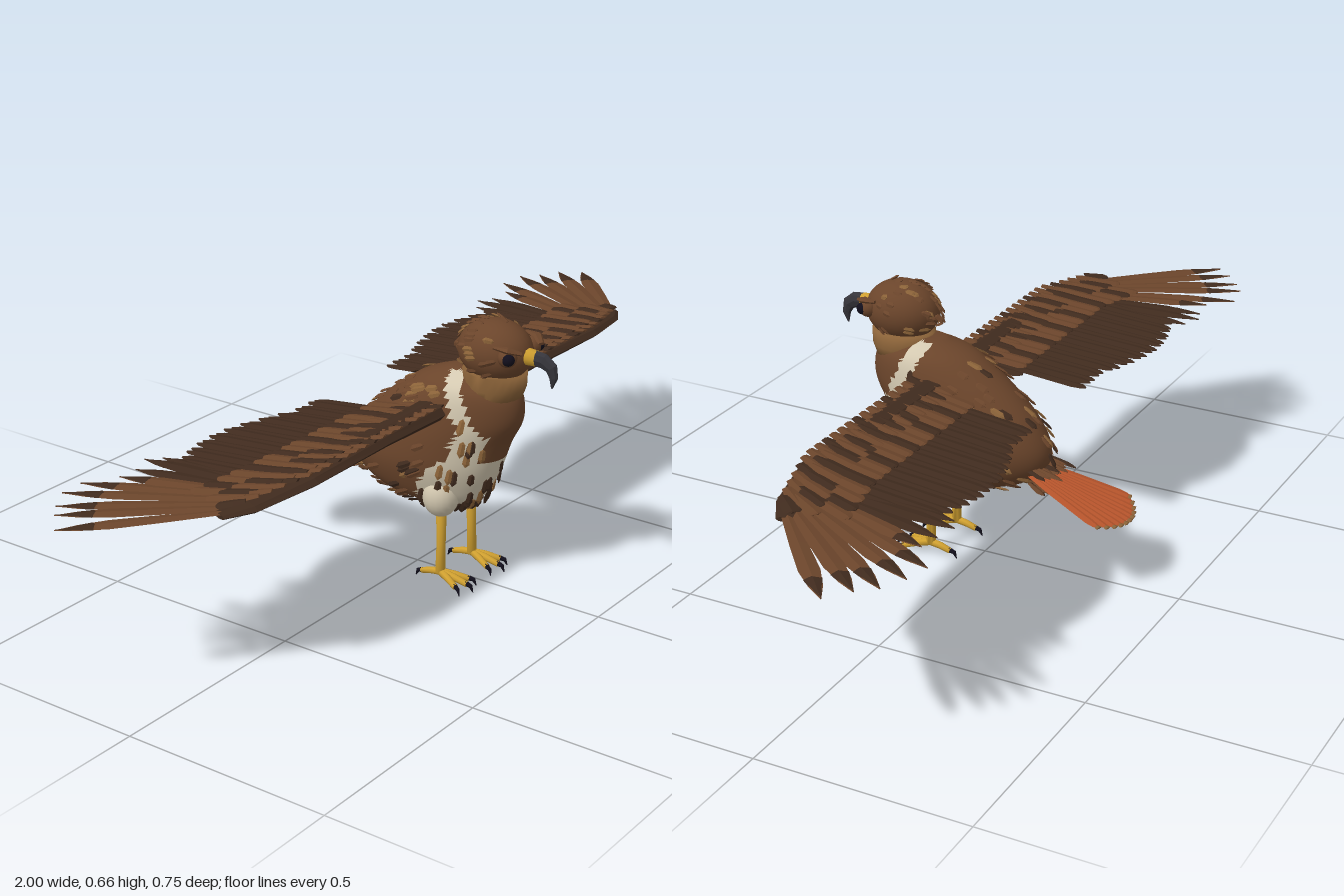
import * as THREE from 'three';

const mat = (name, color) => Object.assign(new THREE.MeshStandardMaterial({ color }), { name });
const brown = mat('brown', 0x6b452b), dark = mat('dark brown', 0x402b1e), tan = mat('tan', 0x8a6238);
const cream = mat('cream', 0xd3c8b0), rufous = mat('rufous', 0xb8552c), yellow = mat('yellow', 0xd0a030);
const horn = mat('horn grey', 0x35343a), black = mat('eye black', 0x120f1c);

let seed = 7;
const rand = () => (seed = (seed * 16807) % 2147483647) / 2147483647;
const V = (x, y, z) => new THREE.Vector3(x, y, z);
const lerp = THREE.MathUtils.lerp;

// Skin over closed rings of equal length, capped at both ends; pick() sorts faces into material groups
function loft(rings, flat, pick = () => 0) {
  const n = rings[0].length, m = rings.length, pts = rings.flat(), sets = [[], []];
  const tri = (a, b, c) => {
    const mid = pts[a].clone().add(pts[b]).add(pts[c]).divideScalar(3);
    sets[pick(mid)].push(a, b, c);
  };
  for (let i = 0; i < m - 1; i++) for (let j = 0; j < n; j++) {
    const k = (j + 1) % n, a = i * n + j, b = i * n + k, c = b + n, d = a + n;
    tri(a, b, c); tri(a, c, d);
  }
  for (let j = 1; j < n - 1; j++) {
    tri(0, j + 1, j);
    tri((m - 1) * n, (m - 1) * n + j, (m - 1) * n + j + 1);
  }
  let g = new THREE.BufferGeometry().setFromPoints(pts);
  g.setIndex([...sets[0], ...sets[1]]);
  g.addGroup(0, sets[0].length, 0);
  g.addGroup(sets[0].length, sets[1].length, 1);
  if (flat) { g = g.toNonIndexed(); g.clearGroups(); }
  g.computeVertexNormals();
  return g;
}

function add(parent, name, geo, material) {
  const m = new THREE.Mesh(geo, material);
  m.name = name;
  parent.add(m);
  return m;
}

// Tapered limb through [x, y, z, halfWidth, halfHeight] stations
function limb(parent, name, stations, material, { up = V(0, 1, 0), sides = 4, flat = true } = {}) {
  const p = stations.map(s => V(s[0], s[1], s[2]));
  const rings = stations.map(([, , , w, h = w], i) => {
    const T = p[Math.min(i + 1, p.length - 1)].clone().sub(p[Math.max(i - 1, 0)]).normalize();
    const S = up.clone().cross(T).normalize(), U = T.clone().cross(S);
    return Array.from({ length: sides }, (_, j) => {
      const a = j / sides * Math.PI * 2;
      return p[i].clone().addScaledVector(S, w * Math.cos(a)).addScaledVector(U, h * Math.sin(a));
    });
  });
  return add(parent, name, loft(rings, flat), material);
}

// Flat vane from root to tip, with a ridge along the shaft
const BLUNT = [[0, 0.6], [0.4, 0.95], [0.88, 1], [0.96, 0.7], [1, 0.2]];
const POINTED = [[0, 0.5], [0.4, 0.85], [0.7, 1], [0.87, 0.65], [1, 0.05]];
const DART = [[0, 0.1], [0.15, 0.8], [0.75, 1], [1, 0.05]].map(([t, w]) => [t, w]);
function feather(parent, name, a, b, w, material, profile = BLUNT, up = V(0, 1, 0), h = 0.004) {
  const st = profile.map(([t, k]) => [...a.clone().lerp(b, t).toArray(), w * k, h * (0.3 + 0.7 * k)]);
  return limb(parent, name, st, material, { up });
}

// Body sections, bottom to top: y, front z, back z, half width
const SECTIONS = [[0.188, 0.14, -0.03, 0.045], [0.212, 0.18, -0.105, 0.08], [0.25, 0.205, -0.155, 0.1],
  [0.3, 0.228, -0.165, 0.112], [0.36, 0.25, -0.135, 0.11], [0.42, 0.28, -0.08, 0.1],
  [0.475, 0.278, -0.01, 0.088], [0.505, 0.25, 0.04, 0.07], [0.53, 0.18, 0.11, 0.03]];
const mid = new THREE.CatmullRomCurve3(SECTIONS.map(([y, f, b, w]) => V(w, y, (f + b) / 2)), false, 'catmullrom');
const deep = new THREE.CatmullRomCurve3(SECTIONS.map(([y, f, b]) => V((f - b) / 2, y, 0)), false, 'catmullrom');
function bodyPoint(t, a) {
  const c = mid.getPoint(t);
  return V(c.x * Math.sin(a), c.y, c.z + deep.getPoint(t).x * Math.cos(a));
}
// Pale belly and a pale streak running up to each shoulder
function isCream({ x, y, z }) {
  if (y < 0.325) return z > 0.06 + Math.max(0, y - 0.25) * 0.9;
  const streak = y < 0.39 ? lerp(0.175, 0.2, (y - 0.325) / 0.065) : lerp(0.2, 0.14, (y - 0.39) / 0.13);
  return Math.abs(x) > 0.035 && Math.abs(z - streak) < (y < 0.39 ? 0.035 : 0.021);
}

function buildBody(g) {
  const rings = Array.from({ length: 41 }, (_, i) =>
    Array.from({ length: 56 }, (_, j) => bodyPoint(i / 40, j / 56 * Math.PI * 2)));
  add(g, 'body', loft(rings, false, p => (isCream(p) ? 1 : 0)), [brown, cream]);

  // Loose plumage lying along the body
  const plumage = new THREE.Group();
  plumage.name = 'bodyPlumage';
  g.add(plumage);
  for (let k = 0; k < 260; k++) {
    const t = 0.04 + rand() * 0.8, a = rand() * Math.PI * 2, p = bodyPoint(t, a);
    const pale = isCream(p);
    if (!pale && (p.z > 0.13 || rand() < 0.35)) continue;
    const n = bodyPoint(t, a + 0.02).sub(p).cross(bodyPoint(t + 0.01, a).sub(p)).normalize();
    const d = pale ? V(0, -1, -0.2) : V(0, -0.45, -1);
    d.addScaledVector(n, 0.22 - d.dot(n)).normalize();
    const color = pale ? (rand() < 0.8 ? dark : tan) : [brown, brown, dark, tan][Math.floor(rand() * 4)];
    feather(plumage, 'bodyFeather', p, p.clone().addScaledVector(d, 0.03 + rand() * 0.012), 0.0085, color, DART, n, 0.003);
  }
}

function buildHead(g) {
  const c = V(0, 0.582, 0.213), r = V(0.073, 0.071, 0.09);
  const skull = add(g, 'head', new THREE.SphereGeometry(1, 28, 18), brown);
  skull.position.copy(c);
  skull.scale.copy(r);
  limb(g, 'neck', [[0, 0.475, 0.212, 0.062, 0.064], [0, 0.5, 0.212, 0.067, 0.074], [0, 0.535, 0.212, 0.067, 0.076]],
    tan, { up: V(0, 0, 1), sides: 24, flat: false });
  // Crown and nape feathers
  for (let k = 0; k < 70; k++) {
    const a = rand() * Math.PI * 2, v = rand() * 1.5 - 0.5;
    const s = Math.sqrt(Math.max(0, 1 - v * v)), n = V(s * Math.sin(a), v, s * Math.cos(a));
    if (n.z > 0.5) continue;
    const p = n.clone().multiply(r).add(c), d = V(0, -0.15, -1);
    d.addScaledVector(n, 0.2 - d.dot(n)).normalize();
    feather(g, 'headFeather', p, p.clone().addScaledVector(d, 0.026), 0.007, k % 4 ? brown : tan, DART, n, 0.003);
  }
  // Cere and hooked beak
  limb(g, 'cere', [[0, 0.583, 0.285, 0.022, 0.02], [0, 0.583, 0.322, 0.017, 0.018]], yellow, { sides: 12, flat: false });
  limb(g, 'beak', [[0, 0.583, 0.318, 0.015, 0.019], [0, 0.581, 0.34, 0.013, 0.019], [0, 0.568, 0.36, 0.011, 0.016],
    [0, 0.547, 0.366, 0.008, 0.011], [0, 0.522, 0.362, 0.002]], horn, { sides: 8, up: V(0, 1, 0.4) });
  for (const s of [-1, 1]) {
    const ball = (name, x, z, rad, m) =>
      add(g, name, new THREE.SphereGeometry(rad, 16, 12), m).position.set(s * x, 0.59, z);
    ball('eyeSocket', 0.05, 0.277, 0.022, brown);
    ball('eye', 0.06, 0.286, 0.0145, black);
    limb(g, 'brow', [[s * 0.04, 0.602, 0.307, 0.007, 0.004], [s * 0.06, 0.611, 0.284, 0.013, 0.007],
      [s * 0.066, 0.613, 0.25, 0.004]], brown, { sides: 6 });
  }
}

function buildLeg(g, s) {
  const leg = new THREE.Group();
  leg.name = s > 0 ? 'leftLeg' : 'rightLeg';
  g.add(leg);
  const thigh = add(leg, 'thigh', new THREE.SphereGeometry(1, 20, 14), cream);
  thigh.position.set(s * 0.06, 0.222, 0.108);
  thigh.scale.set(0.042, 0.052, 0.044);
  limb(leg, 'shank', [[s * 0.06, 0.19, 0.11, 0.013], [s * 0.062, 0.1, 0.111, 0.011], [s * 0.065, 0.028, 0.111, 0.012]],
    yellow, { up: V(0, 0, 1), sides: 10, flat: false });
  // Three toes forward, one back, each with a curved claw
  for (const angle of [-0.42, 0, 0.42, Math.PI]) {
    const len = angle === 0 ? 0.075 : angle > 3 ? 0.052 : 0.068;
    const at = (d, y, r) => [s * 0.065 + Math.sin(angle) * d, y, 0.111 + Math.cos(angle) * d, r];
    limb(leg, 'toe', [at(0, 0.03, 0.009), at(len * 0.5, 0.026, 0.0085), at(len, 0.018, 0.007)], yellow, { sides: 8, flat: false });
    limb(leg, 'claw', [at(len - 0.004, 0.02, 0.0065), at(len + 0.011, 0.016, 0.005), at(len + 0.017, 0.002, 0.001)], black, { sides: 6 });
  }
}

function buildWing(g, s) {
  const wing = new THREE.Group();
  wing.name = s > 0 ? 'leftWing' : 'rightWing';
  g.add(wing);
  const P = (x, y, z) => V(s * x, y, z);
  limb(wing, 'wingArm', [[0.06, 0.438, 0.1, 0.045, 0.022], [0.3, 0.442, 0.105, 0.04, 0.017], [0.55, 0.438, 0.105, 0.042, 0.014],
    [0.7, 0.424, 0.075, 0.038, 0.011], [0.765, 0.42, 0.055, 0.02, 0.006]].map(([x, ...q]) => [s * x, ...q]), dark, { sides: 8 });
  // Secondaries along the forearm
  for (let i = 0; i < 21; i++) {
    const x = lerp(0.13, 0.6, i / 20), inner = x < 0.24;
    const z = inner ? -0.19 : -0.2 - 0.045 * Math.abs(Math.sin((x - 0.24) * 8.5));
    feather(wing, 'secondary', P(x, 0.436, 0.07), P(x + 0.01, 0.41 + (i % 2) * 0.003, z), 0.017, dark);
  }
  // Fanned primaries with dark tips
  const tips = [[0.6, -0.245], [0.635, -0.265], [0.68, -0.25], [0.735, -0.245], [0.8, -0.295],
    [0.865, -0.285], [0.915, -0.255], [0.955, -0.22], [1, -0.175]];
  tips.forEach(([x, z], i) => {
    const k = i / 8, a = P(lerp(0.59, 0.735, k), 0.425, lerp(0.04, 0.075, k)), b = P(x, 0.414 + (i % 2) * 0.004, z);
    feather(wing, 'primary', a, b, 0.022, i < 3 ? dark : brown, POINTED);
    feather(wing, 'primaryTip', a.clone().lerp(b, 0.74), b, 0.019, dark, [[0, 0.1], [0.2, 1], [0.5, 0.72], [1, 0.04]], V(0, 1, 0), 0.0045);
  });
  // Overlapping coverts, front rows on top, plus a dark lining below
  const row = (name, n, x0, x1, y, z0, z1, w, pick) => {
    for (let i = 0; i < n; i++) {
      const x = lerp(x0, x1, i / (n - 1)), back = Math.max(0, x - 0.55);
      feather(wing, name, P(x, y - back * 0.09, z0 - back * 0.3), P(x + 0.012 + back * 0.15, y - 0.014 - back * 0.07, z1 - back * 0.2), w, pick(i));
    }
  };
  row('greaterCovert', 19, 0.12, 0.68, 0.45, 0.08, -0.04, 0.019, i => (i % 3 === 2 ? dark : brown));
  row('medianCovert', 21, 0.1, 0.7, 0.457, 0.115, 0.025, 0.018, i => (i % 2 ? dark : brown));
  row('lesserCovert', 21, 0.1, 0.72, 0.461, 0.14, 0.075, 0.018, i => (i % 4 ? brown : dark));
  row('wingLining', 18, 0.12, 0.66, 0.428, 0.12, -0.03, 0.02, () => dark);
}

function buildTail(g) {
  // Rounded fan of tail feathers with pale-edged dark ends
  for (let i = -5; i <= 5; i++) {
    const k = i / 5, y = 0.002 * (5 - Math.abs(i)) / 5;
    const a = V(k * 0.03, 0.252 + y, -0.12), b = V(k * 0.088, 0.17 + y + 0.014 * k * k, -0.375 + 0.04 * k * k);
    feather(g, 'tailFeather', a, b, 0.0155, rufous, BLUNT, V(0, 1, -0.3), 0.0035);
    feather(g, 'tailTip', a.clone().lerp(b, 0.965), b.clone().lerp(a, -0.006), 0.01, tan, BLUNT, V(0, 1, -0.3), 0.003);
  }
  // Rump feathers over and under the tail root
  for (let i = 0; i < 26; i++) {
    const k = (i % 13) / 6 - 1, over = i < 13 ? 1 : -1;
    const a = V(k * 0.045, 0.25 + over * 0.018, -0.12 - rand() * 0.02);
    const b = V(k * 0.05, (over > 0 ? 0.246 : 0.208) + rand() * 0.008, -0.17 - rand() * 0.05);
    feather(g, 'rumpFeather', a, b, 0.01, i % 3 ? brown : dark, POINTED);
  }
}

export function createModel() {
  const g = new THREE.Group();
  g.name = 'hawk';
  buildBody(g);
  buildHead(g);
  for (const s of [1, -1]) {
    buildLeg(g, s);
    buildWing(g, s);
  }
  buildTail(g);
  return g;
}
